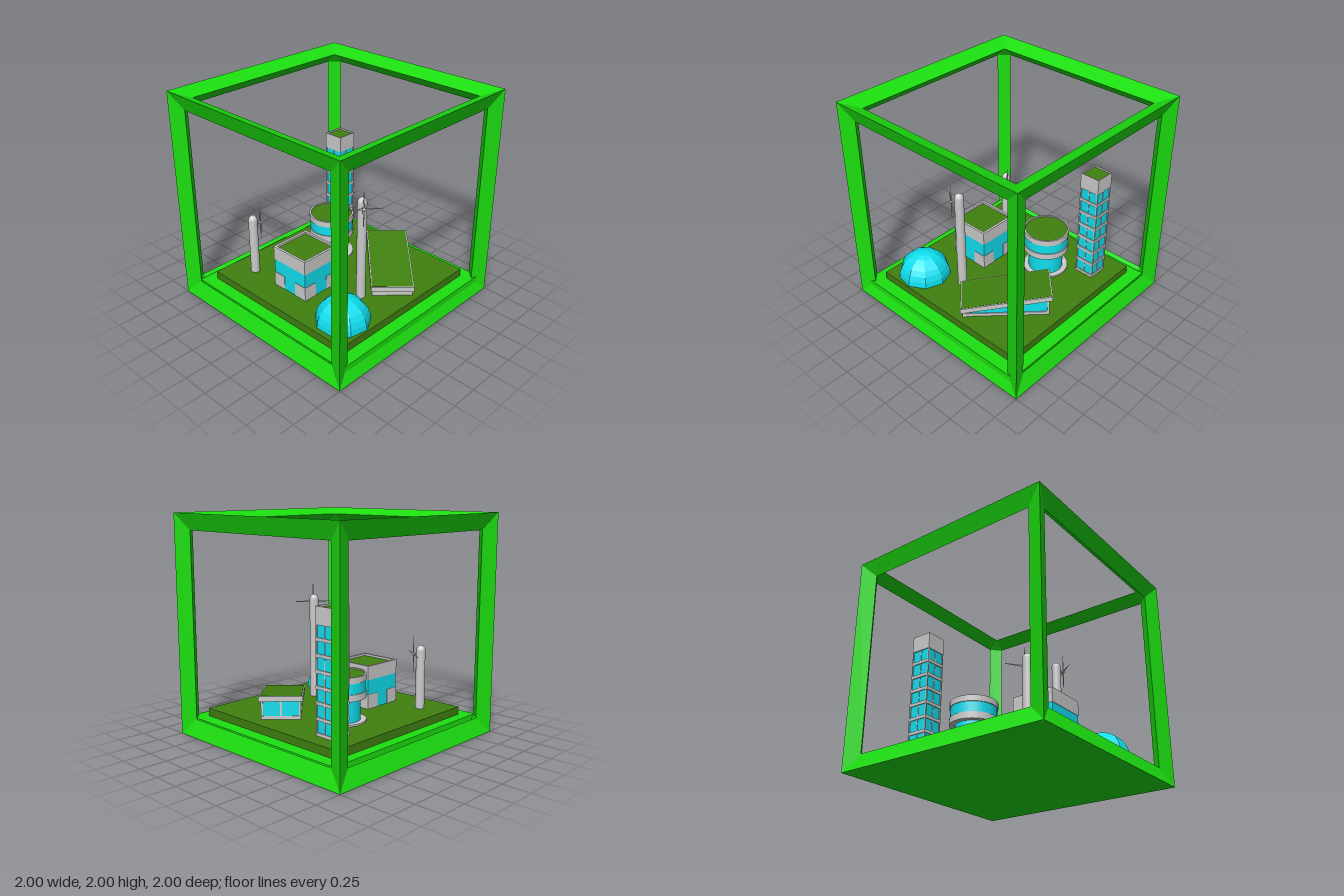
import * as THREE from 'three';

const mat = (color, extra = {}) => new THREE.MeshStandardMaterial({ color, ...extra });
const GREY = mat(0xcccccc);
const GLASS = mat(0x10e0f0);
const GRASS = mat(0x408010);
const FRAME = mat(0x1ce010, { flatShading: true });
const GROUND = 0.23;

function add(parent, name, geometry, material, x = 0, y = 0, z = 0) {
  const mesh = new THREE.Mesh(geometry, material);
  mesh.name = name;
  mesh.position.set(x, y, z);
  parent.add(mesh);
  return mesh;
}

// Box given by its centre in plan and its bottom and top heights
function block(parent, name, material, w, d, y0, y1, x = 0, z = 0) {
  return add(parent, name, new THREE.BoxGeometry(w, y1 - y0, d), material, x, (y0 + y1) / 2, z);
}

function subgroup(parent, name, x, z, turn = 0) {
  const g = new THREE.Group();
  g.name = name;
  g.position.set(x, 0, z);
  g.rotation.y = turn;
  parent.add(g);
  return g;
}

// Side profile in x/y, extruded symmetrically along z
function prism(points, depth) {
  const shape = new THREE.Shape(points.map(([x, y]) => new THREE.Vector2(x, y)));
  return new THREE.ExtrudeGeometry(shape, { depth, bevelEnabled: false }).translate(0, 0, -depth / 2);
}

// Square parapet: outline with a hole, standing from y0 to y1
function parapet(half, rim, y0, y1) {
  const square = (P, h) => new P([[-h, -h], [h, -h], [h, h], [-h, h]].map(p => new THREE.Vector2(...p)));
  const shape = square(THREE.Shape, half);
  shape.holes.push(square(THREE.Path, half - rim));
  return new THREE.ExtrudeGeometry(shape, { depth: y1 - y0, bevelEnabled: false })
    .rotateX(-Math.PI / 2).translate(0, y0, 0);
}

// Open cube frame: each side is an inward-sloping border, joined by inner chamfers
function frameGeometry() {
  const inner = 0.85, sunk = 0.94, pos = [];
  const point = (k, s, i, si, j, sj) => {
    const v = new THREE.Vector3();
    return v.setComponent(k, s * sunk).setComponent(i, si * inner).setComponent(j, sj * inner);
  };
  const face = (pts, dir) => {
    const n = pts[1].clone().sub(pts[0]).cross(pts[2].clone().sub(pts[0]));
    const p = n.dot(dir) < 0 ? [...pts].reverse() : pts;
    for (let t = 1; t < p.length - 1; t++) [p[0], p[t], p[t + 1]].forEach(v => pos.push(v.x, v.y + 1, v.z));
  };
  const ring = [[1, 1], [-1, 1], [-1, -1], [1, -1]];
  for (let k = 0; k < 3; k++) {
    const i = (k + 1) % 3, j = (k + 2) % 3;
    const corner = (s, [a, b]) => new THREE.Vector3().setComponent(k, s).setComponent(i, a).setComponent(j, b);
    for (let q = 0; q < 4; q++) {
      const c = ring[q], e = ring[(q + 1) % 4];
      for (const s of [-1, 1]) {
        face([corner(s, c), corner(s, e), point(k, s, i, e[0], j, e[1]), point(k, s, i, c[0], j, c[1])],
          corner(s, [0, 0]));
      }
      // inner chamfer of the bar running along axis k
      face([point(i, c[0], j, c[1], k, -1), point(i, c[0], j, c[1], k, 1),
        point(j, c[1], i, c[0], k, 1), point(j, c[1], i, c[0], k, -1)], corner(0, c).negate());
    }
  }
  for (const [a, b] of ring) for (const s of [-1, 1]) {
    face([point(0, a, 1, b, 2, s), point(1, b, 0, a, 2, s), point(2, s, 0, a, 1, b)],
      new THREE.Vector3(-a, -b, -s));
  }
  const g = new THREE.BufferGeometry();
  g.setAttribute('position', new THREE.Float32BufferAttribute(pos, 3));
  g.computeVertexNormals();
  return g;
}

function tower(parent) {
  const g = subgroup(parent, 'tower', -0.505, -0.57);
  const floors = 7, top = 1.15, step = (top - GROUND) / floors;
  block(g, 'towerGlass', GLASS, 0.174, 0.174, GROUND, top);
  for (let f = 0; f < floors; f++) {
    const y = GROUND + f * step;
    block(g, 'towerFloor', GREY, 0.192, 0.192, y, y + 0.028);
  }
  for (const s of [-1, 1]) {
    block(g, 'towerMullion', GREY, 0.008, 0.01, GROUND, top, 0, s * 0.087);
    block(g, 'towerMullion', GREY, 0.01, 0.008, GROUND, top, s * 0.087, 0);
    for (const t of [-1, 1]) block(g, 'towerCornerPost', GREY, 0.012, 0.012, GROUND, top, s * 0.089, t * 0.089);
  }
  add(g, 'towerParapet', parapet(0.096, 0.009, top, 1.3), GREY);
  block(g, 'towerRoof', GRASS, 0.18, 0.18, top, 1.285);
}

function roundBuilding(parent) {
  const g = subgroup(parent, 'roundBuilding', -0.275, -0.215);
  const drum = (name, m, r, y0, y1) =>
    add(g, name, new THREE.CylinderGeometry(r, r, y1 - y0, 40), m, 0, (y0 + y1) / 2, 0);
  drum('roundBase', GREY, 0.21, GROUND, 0.245);
  drum('roundLowerGlass', GLASS, 0.16, 0.245, 0.45);
  drum('roundBand', GREY, 0.21, 0.445, 0.505);
  drum('roundUpperGlass', GLASS, 0.202, 0.505, 0.6);
  drum('roundRoof', GRASS, 0.197, 0.6, 0.645);
  const rim = [[0.194, 0.6], [0.21, 0.6], [0.21, 0.655], [0.194, 0.655], [0.194, 0.6]];
  // each straight piece is its own lathe so the edges stay sharp
  for (let k = 0; k < 4; k++) {
    add(g, 'roundParapet', new THREE.LatheGeometry([rim[k], rim[k + 1]].map(p => new THREE.Vector2(...p)), 40), GREY);
  }
}

function squareBuilding(parent) {
  const g = subgroup(parent, 'squareBuilding', -0.033, 0.368);
  block(g, 'squareGlass', GLASS, 0.388, 0.388, GROUND, 0.5);
  for (const s of [-1, 1]) for (const t of [-1, 1]) {
    block(g, 'squareCornerBlock', GREY, 0.13, 0.13, GROUND, 0.365, s * 0.133, t * 0.133);
  }
  add(g, 'squareParapet', parapet(0.198, 0.022, 0.5, 0.63), GREY);
  block(g, 'squareRoof', GRASS, 0.36, 0.36, 0.5, 0.61);
}

// Long house with a sloping grass roof; its low end is local +x
function house(parent) {
  const g = subgroup(parent, 'house', 0.3825, -0.31, -Math.PI / 4);
  const L = 0.403, W = 0.386;
  const roofY = x => 0.385 - x * 0.149;
  const slab = (l, up, low) => [[-l, roofY(-l) + low], [l, roofY(l) + low], [l, roofY(l) + up], [-l, roofY(-l) + up]];
  add(g, 'houseRoof', prism(slab(L, 0, -0.048), W), GREY);
  add(g, 'houseGrassRoof', prism(slab(L - 0.01, 0.002, -0.01), W - 0.02), GRASS);
  add(g, 'houseGlass', prism([[-0.37, GROUND], [0.37, GROUND], [0.37, roofY(0.37) - 0.03], [-0.37, roofY(-0.37) - 0.03]], 0.334), GLASS);
  block(g, 'houseSill', GREY, 0.76, 0.35, GROUND, 0.26);
  block(g, 'houseLowWall', GREY, 0.03, 0.362, GROUND, 0.3, 0.37);
  for (const z of [-0.165, 0, 0.165]) block(g, 'houseEndPost', GREY, 0.018, 0.018, GROUND, 0.41, -0.367, z);
}

// Four-bladed turbine; turn points the rotor's local +z outwards
function turbine(parent, name, x, z, top, hubY, turn) {
  const g = subgroup(parent, name, x, z, turn);
  const r = 0.042, shoulder = top - 0.05;
  add(g, 'turbinePole', new THREE.CylinderGeometry(r, r, shoulder - GROUND, 24), GREY, 0, (shoulder + GROUND) / 2, 0);
  const cap = new THREE.SphereGeometry(r, 24, 8, 0, Math.PI * 2, 0, Math.PI / 2).scale(1, 0.05 / r, 1);
  add(g, 'turbineCap', cap, GREY, 0, shoulder, 0);
  add(g, 'turbineShaft', new THREE.CylinderGeometry(0.008, 0.008, 0.04, 10).rotateX(Math.PI / 2), GREY, 0, hubY, 0.05);
  add(g, 'turbineHub', new THREE.SphereGeometry(0.015, 12, 8), GREY, 0, hubY, 0.068);
  for (let b = 0; b < 4; b++) {
    const blade = new THREE.CylinderGeometry(0.003, 0.012, 0.165, 8).scale(0.8, 1, 0.5).translate(0, 0.0825, 0);
    add(g, 'turbineBlade', blade, GREY, 0, hubY, 0.068).rotation.z = b * Math.PI / 2;
  }
}

export function createModel() {
  const model = new THREE.Group();
  model.name = 'ecoCityInFrame';

  add(model, 'cubeFrame', frameGeometry(), FRAME);
  block(model, 'frameFloor', FRAME, 1.83, 1.86, 0.06, 0.157, 0.045);
  block(model, 'groundSlab', GRASS, 1.615, 1.62, 0.157, GROUND, 0.033);

  tower(model);
  roundBuilding(model);
  squareBuilding(model);
  house(model);

  // Faceted glass dome
  const dome = new THREE.SphereGeometry(0.242, 9, 7, -Math.PI / 2, Math.PI * 2, 0, Math.PI / 2);
  add(model, 'glassDome', dome, mat(0x10e0f0, { flatShading: true }), 0.59, GROUND, 0.535);

  turbine(model, 'tallTurbine', 0.457, 0.165, 1.22, 1.14, Math.atan2(0.8, 0.6));
  turbine(model, 'shortTurbine', -0.535, 0.54, 0.815, 0.735, Math.atan2(0.58, -0.81));
  return model;
}
